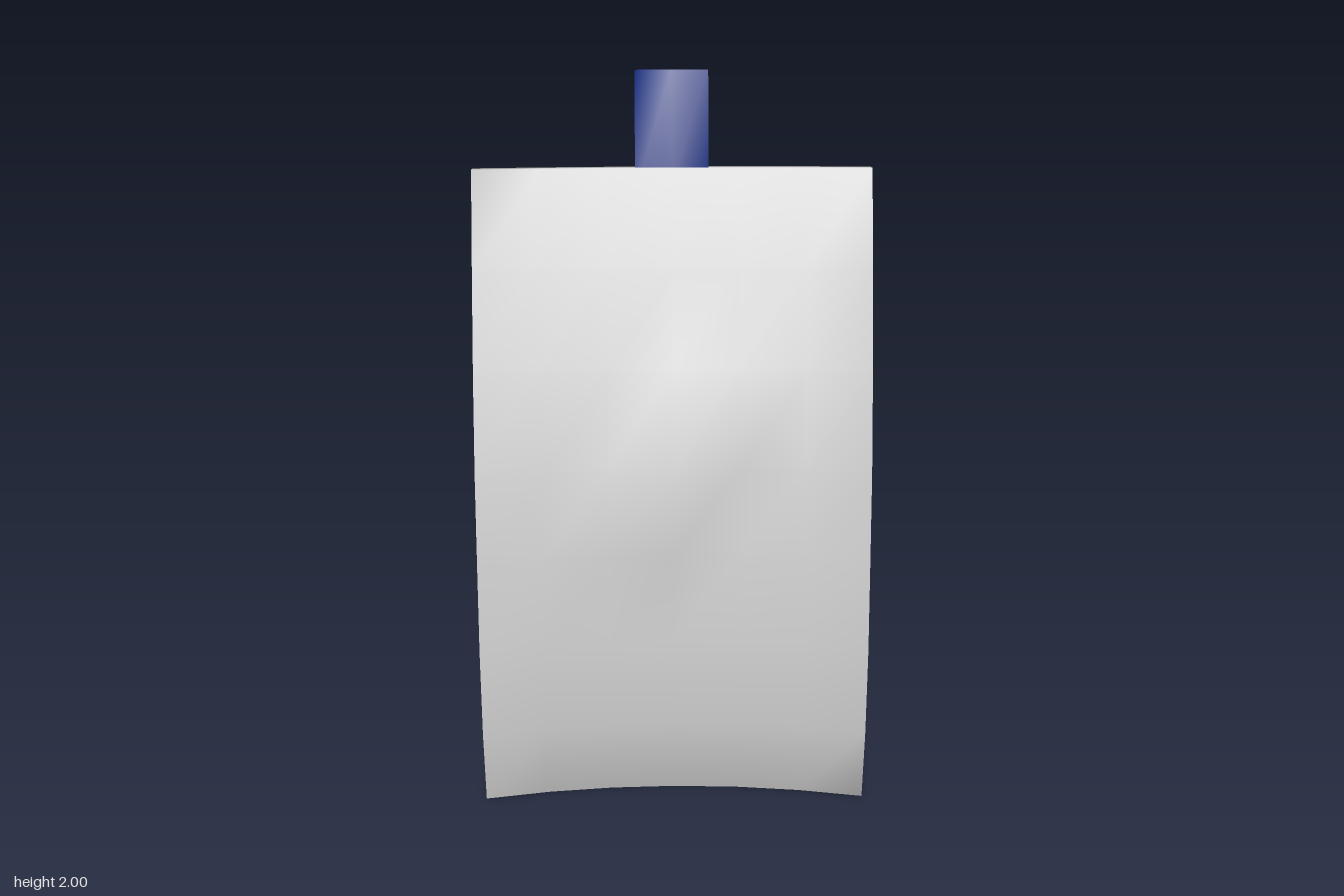
import * as THREE from 'three';
import { mergeVertices } from 'three/addons/utils/BufferGeometryUtils.js';

// Box with shared corners, so shading rolls softly over the edges
function softBox(w, h, d, sx, sy, shape) {
  let g = new THREE.BoxGeometry(w, h, d, sx, sy, 1);
  g.deleteAttribute('uv');
  g.deleteAttribute('normal');
  g = mergeVertices(g, 1e-4);
  const p = g.attributes.position;
  if (shape) {
    for (let i = 0; i < p.count; i++) {
      p.setXYZ(i, ...shape(p.getX(i), p.getY(i), p.getZ(i)));
    }
  }
  g.computeVertexNormals();
  return g;
}

export function createModel() {
  const grey = new THREE.MeshStandardMaterial({ color: 0xc2c2c2 });
  grey.name = 'light grey';
  const blue = new THREE.MeshStandardMaterial({ color: 0x10297c });
  blue.name = 'navy blue';
  const model = new THREE.Group();
  const add = (name, geometry, material) => {
    const mesh = new THREE.Mesh(geometry, material);
    mesh.name = name;
    model.add(mesh);
    return mesh;
  };

  // Centre line of the panel's rear face: [y, z] per row, bottom to top
  const spine = [[0, 0.34], [0.25, 0.335], [0.51, 0.285], [0.76, 0.2],
    [1.0, 0.115], [1.25, -0.01], [1.5, -0.16], [1.74, -0.315]];
  const rows = spine.length - 1;

  // Curved panel: bent along the spine, sides wrapping forward
  const panel = softBox(1.135, 1, 1, 6, rows, (x, y, z) => {
    const row = Math.round((y + 0.5) * rows);
    const [sy, sz] = spine[row];
    const ny = row < 2 ? 0 : Math.min(0.4, 0.1 * (row - 1));
    const nz = Math.sqrt(1 - ny * ny);
    const front = z > 0;
    let out = 0.05 * (x / 0.5675) ** 2 + (front ? 0.06 : 0);
    // single raised point in the middle of the front
    if (front && row === 4 && Math.abs(x) < 0.01) out += 0.09;
    return [x, sy + ny * out, sz + nz * out];
  });
  add('curvedPanel', panel, grey);

  // Strap rising out of the top edge, in line with the panel's lean
  const strap = add('topStrap', softBox(0.21, 0.346, 0.05, 2, 1), blue);
  strap.position.set(0, 1.8385, -0.339);
  strap.rotation.x = -0.54;

  // Sliver of the strap showing through the rear face
  const slit = add('rearStrapSlit', softBox(0.2, 0.016, 0.009, 1, 1), blue);
  slit.position.set(0, 1.675, -0.276);
  slit.rotation.x = -0.573;

  return model;
}
